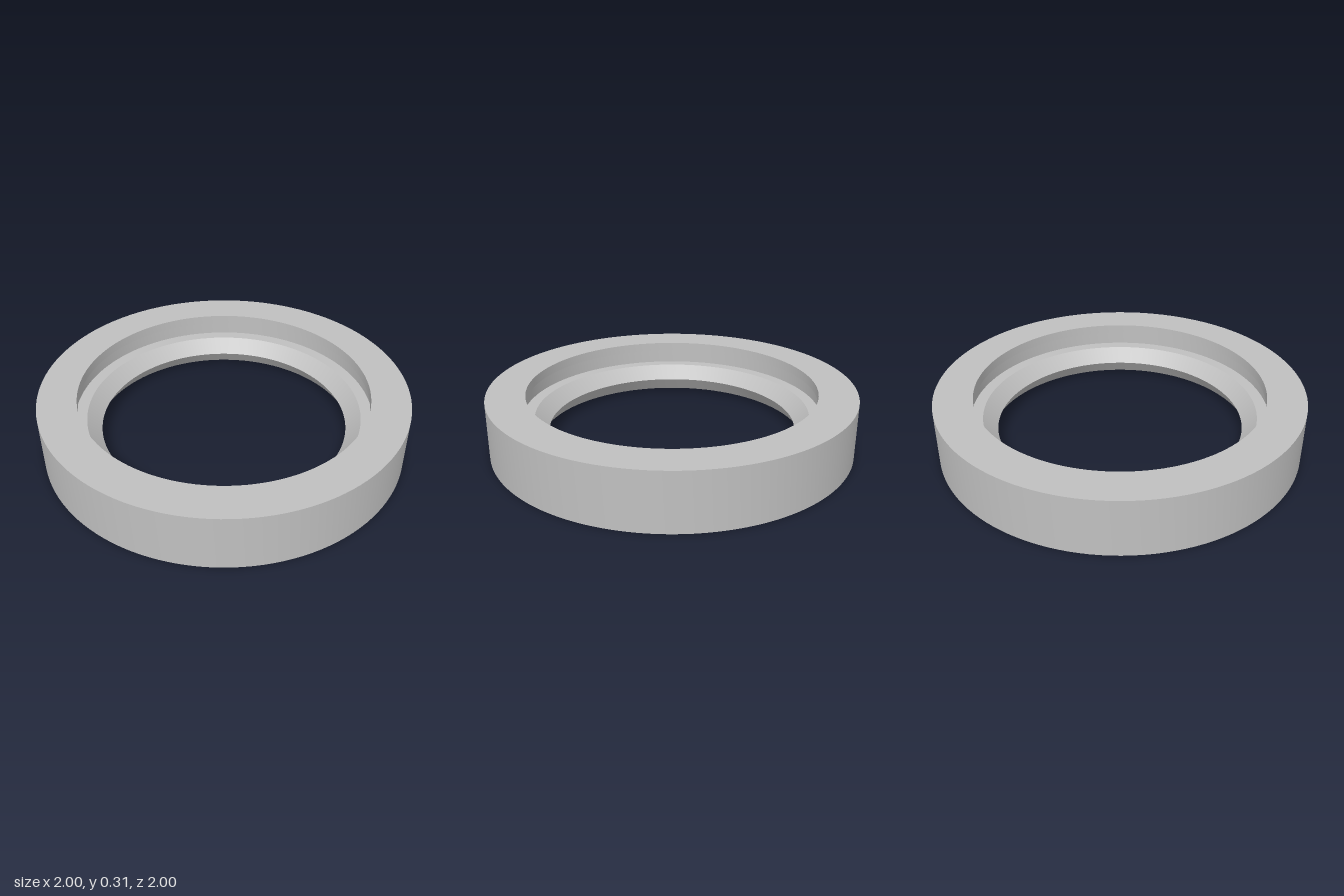
import * as THREE from 'three';
import { toCreasedNormals } from 'three/addons/utils/BufferGeometryUtils.js';

export function createModel() {
  const group = new THREE.Group();
  group.name = 'ringFlange';

  const greyMetal = new THREE.MeshStandardMaterial({ color: 0xc0c0c0 });
  greyMetal.name = 'greyMetal';

  // Closed cross-section [radius, height], run up the outside and down the bore
  const profile = [
    [0.946, 0], [1, 0], [1, 0.31],        // bottom rim and outer wall
    [0.79, 0.31], [0.79, 0.258],          // top face and upper lip
    [0.815, 0.258], [0.815, 0.175],       // undercut groove
    [0.75, 0.175],                        // inner ledge
    [0.675, 0.1],                         // upper cone down to the throat
    [0.73, 0.02],                         // lower cone
    [0.946, 0.02], [0.946, 0],            // recessed underside
  ].map(([r, y]) => new THREE.Vector2(r, y));

  const geometry = toCreasedNormals(new THREE.LatheGeometry(profile, 128), 0.5);
  const ring = new THREE.Mesh(geometry, greyMetal);
  ring.name = 'ringBody';
  group.add(ring);

  return group;
}
